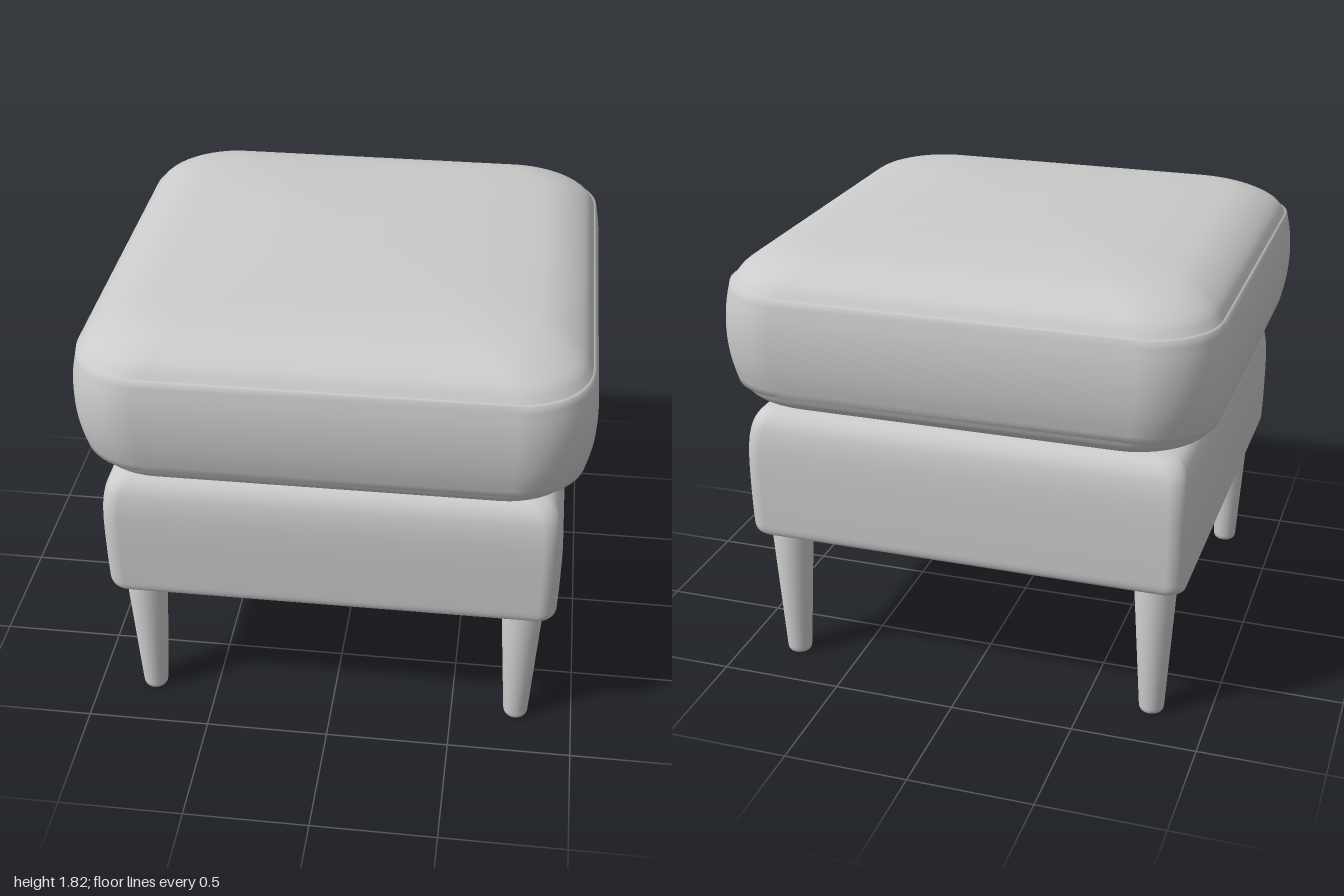
import * as THREE from 'three';

const material = new THREE.MeshStandardMaterial({ color: 0xcccccc, side: THREE.DoubleSide });

// Smooth [half-width, height] profile through a few points.
function smooth(points, count) {
  const curve = new THREE.CatmullRomCurve3(
    points.map(([h, y]) => new THREE.Vector3(h, y, 0)), false, 'centripetal');
  return curve.getPoints(count).map((p) => [p.x, p.y]);
}

// One rounded-square outline, going round from +x towards +z.
function outline(h, radius, depth, y) {
  const ring = [];
  const steps = 12;
  for (let corner = 0; corner < 4; corner++) {
    const sx = corner === 0 || corner === 3 ? 1 : -1;
    const sz = corner < 2 ? 1 : -1;
    for (let i = 0; i <= steps; i++) {
      const a = (corner + i / steps) * Math.PI / 2;
      ring.push([sx * (h - radius) + radius * Math.cos(a), y,
        (sz * (h - radius) + radius * Math.sin(a)) * depth]);
    }
  }
  return ring;
}

// Skin rounded-square outlines from bottom to top, with optional end caps.
function loft(name, profile, cornerRatio, { depth = 1, bottom = false, top = false } = {}) {
  const positions = [];
  const index = [];
  let n = 0;
  for (const [h, y] of profile) {
    const ring = outline(h, h * cornerRatio, depth, y);
    n = ring.length;
    positions.push(...ring.flat());
  }
  for (let r = 0; r < profile.length - 1; r++) {
    for (let i = 0; i < n; i++) {
      const a = r * n + i;
      const b = r * n + (i + 1) % n;
      index.push(a, a + n, b, b, a + n, b + n);
    }
  }
  const cap = (ringIndex, up) => {
    const centre = positions.length / 3;
    positions.push(0, profile[ringIndex][1], 0);
    for (let i = 0; i < n; i++) {
      const a = ringIndex * n + i;
      const b = ringIndex * n + (i + 1) % n;
      index.push(centre, up ? b : a, up ? a : b);
    }
  };
  if (bottom) cap(0, false);
  if (top) cap(profile.length - 1, true);
  const geometry = new THREE.BufferGeometry();
  geometry.setAttribute('position', new THREE.Float32BufferAttribute(positions, 3));
  geometry.setIndex(index);
  geometry.computeVertexNormals();
  const mesh = new THREE.Mesh(geometry, material);
  mesh.name = name;
  return mesh;
}

export function createModel() {
  const model = new THREE.Group();
  model.name = 'footstool';

  // Cushion: bulging side band between a domed top and a tucked underside
  const cushion = new THREE.Group();
  cushion.name = 'cushion';
  const cornerRatio = 0.29;
  cushion.add(
    loft('cushionUnderside', smooth([[0.05, 1.142], [0.7, 1.143], [0.79, 1.15], [0.88, 1.174],
      [0.935, 1.21], [0.955, 1.25]], 24), cornerRatio, { bottom: true }),
    loft('cushionSideBand', [[0.955, 1.25], ...smooth([[0.968, 1.252], [0.988, 1.35], [0.996, 1.46],
      [0.991, 1.56], [0.975, 1.652]], 14), [0.965, 1.655]], cornerRatio),
    loft('cushionTop', smooth([[0.965, 1.655], [0.935, 1.698], [0.875, 1.74], [0.8, 1.77],
      [0.7, 1.787], [0.4, 1.808], [0.15, 1.819], [0.01, 1.82]], 32), cornerRatio, { top: true }),
  );
  model.add(cushion);

  // Upholstered base, softer along its top edge than its bottom edge
  model.add(loft('base', [
    [0.5, 0.588], [0.865, 0.588],
    ...smooth([[0.87, 0.588], [0.889, 0.594], [0.899, 0.615], [0.902, 0.66], [0.905, 0.8],
      [0.904, 0.95], [0.896, 1.03], [0.88, 1.085], [0.85, 1.122], [0.8, 1.14], [0.76, 1.142]], 36),
    [0.5, 1.142],
  ], 0.08, { depth: 0.99, bottom: true, top: true }));

  // Four tapered round legs with eased feet
  const legProfile = [[0, 0], [0.035, 0], [0.044, 0.003], [0.049, 0.012], [0.051, 0.025],
    [0.086, 0.6], [0, 0.6]].map(([r, y]) => new THREE.Vector2(r, y));
  const legGeometry = new THREE.LatheGeometry(legProfile, 32);
  for (const [front, sz] of [['front', 1], ['back', -1]]) {
    for (const [side, sx] of [['Left', 1], ['Right', -1]]) {
      const leg = new THREE.Mesh(legGeometry, material);
      leg.name = `${front}${side}Leg`;
      leg.position.set(sx * 0.768, 0, sz * 0.766);
      model.add(leg);
    }
  }
  return model;
}
